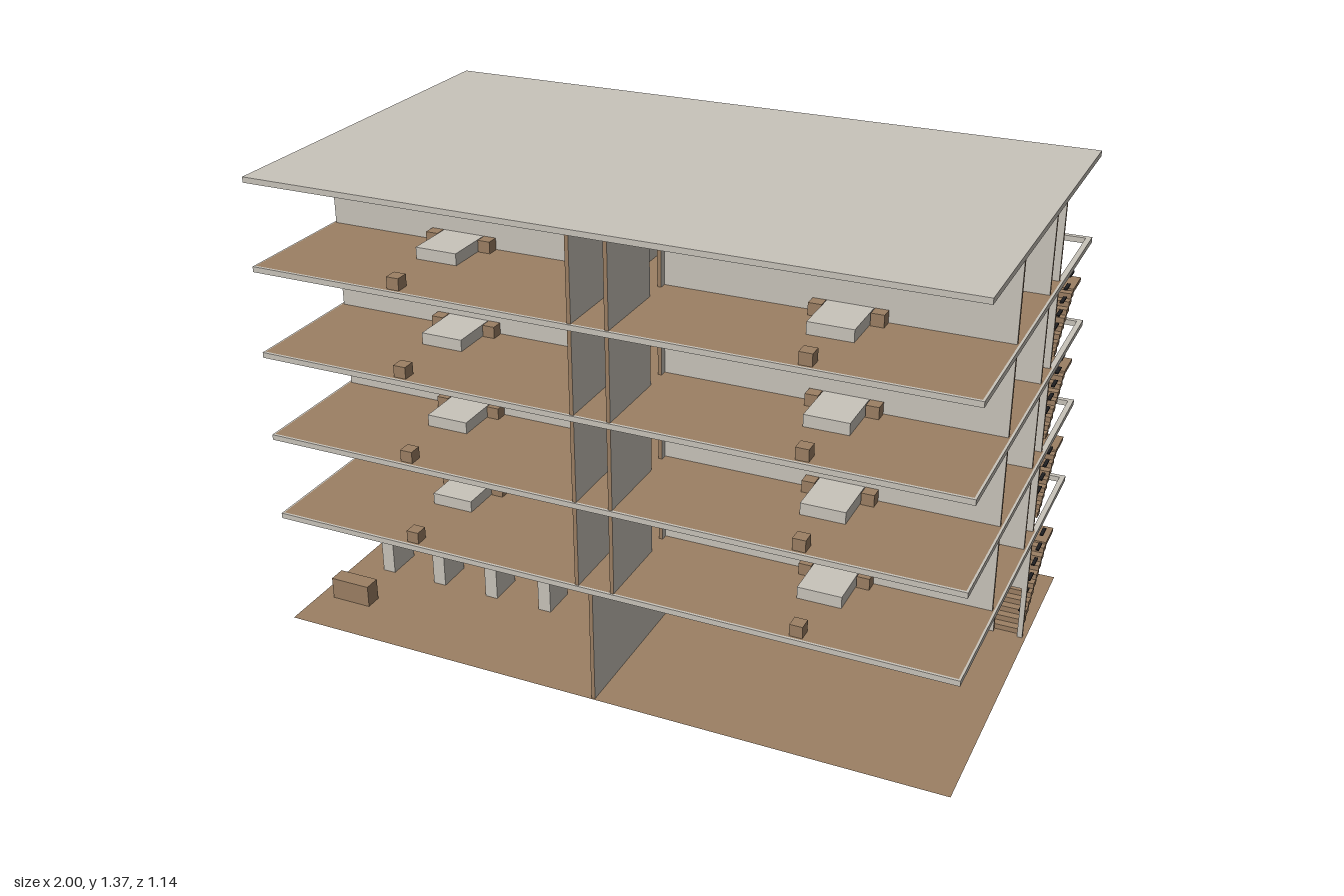
import * as THREE from 'three';

const mat = (name, color, side = THREE.FrontSide) => {
  const m = new THREE.MeshStandardMaterial({ color, side });
  m.name = name;
  return m;
};

export function createModel() {
  const plaster = mat('plaster', 0xc9c4bb);
  const wood = mat('wood', 0x9c8064);
  const woodFloor = mat('wood floor', 0x9c8064, THREE.DoubleSide);
  const charcoal = mat('charcoal', 0x48464c);
  const black = mat('black', 0x1e1e20);

  const model = new THREE.Group();
  model.name = 'apartmentBuilding';

  const X = 1, Z = 0.57, SLAB = 0.016, T = 0.011, DOOR_H = 0.165;
  const floorTops = [0.356, 0.609, 0.862, 1.114];
  const roofTop = 1.365;
  const well = { x0: 0.812, x1: 0.985, z0: -0.555, z1: -0.215 };

  // Box given by its min and max corners
  function box(parent, name, material, x0, x1, y0, y1, z0, z1) {
    const m = new THREE.Mesh(new THREE.BoxGeometry(x1 - x0, y1 - y0, z1 - z0), material);
    m.position.set((x0 + x1) / 2, (y0 + y1) / 2, (z0 + z1) / 2);
    m.name = name;
    parent.add(m);
    return m;
  }

  // Wall with door notches; plaster faces, wooden edges
  function wall(parent, name, axis, at, from, to, y0, h, doors = []) {
    const s = new THREE.Shape();
    s.moveTo(from, 0);
    for (const [a, b] of doors) {
      s.lineTo(a, 0);
      s.lineTo(a, DOOR_H);
      s.lineTo(b, DOOR_H);
      s.lineTo(b, 0);
    }
    s.lineTo(to, 0);
    s.lineTo(to, h);
    s.lineTo(from, h);
    s.closePath();
    const g = new THREE.ExtrudeGeometry(s, { depth: T, bevelEnabled: false });
    const m = new THREE.Mesh(g, [plaster, wood]);
    if (axis === 'x') m.position.set(0, y0, at - T / 2);
    else {
      m.rotation.y = -Math.PI / 2;
      m.position.set(at + T / 2, y0, 0);
    }
    m.name = name;
    parent.add(m);
  }

  // Closed shape on the floor plane (shape y = -z)
  function plan(points) {
    return new THREE.Shape(points.map(([x, z]) => new THREE.Vector2(x, -z)));
  }

  // Floor slab with an opening for the stairs and a wooden top
  function slab(parent, top) {
    const s = plan([[-X, Z], [X, Z], [X, -Z], [-X, -Z]]);
    const { x0, x1, z0, z1 } = well;
    s.holes.push(new THREE.Path([[x0, z0], [x0, z1], [x1, z1], [x1, z0]].map(([x, z]) => new THREE.Vector2(x, -z))));
    const m = new THREE.Mesh(new THREE.ExtrudeGeometry(s, { depth: SLAB, bevelEnabled: false }), plaster);
    m.rotation.x = -Math.PI / 2;
    m.position.y = top - SLAB;
    m.name = 'floorSlab';
    parent.add(m);
    const e = 0.006;
    const f = plan([[-X + e, Z - e], [X - e, Z - e], [X - e, z1], [x0, z1], [x0, -Z + e], [-X + e, -Z + e]]);
    const p = new THREE.Mesh(new THREE.ShapeGeometry(f), woodFloor);
    p.rotation.x = -Math.PI / 2;
    p.position.y = top + 0.001;
    p.name = 'woodFloor';
    parent.add(p);
  }

  // Bed, two bedside tables and a chair, set off from the wall at z = zw
  function bedroom(parent, side, y, zw, zFront) {
    const cx = 0.567 * side, h = 0.035;
    box(parent, 'bed', plaster, cx - 0.062, cx + 0.062, y, y + h, zw + 0.007, zw + 0.155);
    for (const k of [-1, 1]) {
      const bx = cx + k * 0.082;
      box(parent, 'bedsideTable', wood, bx - 0.018, bx + 0.018, y, y + h, zw + 0.007, zw + 0.042);
    }
    box(parent, 'chair', wood, cx - 0.018, cx + 0.018, y, y + h, zFront - 0.05, zFront - 0.012);
  }

  // Two flights of steps, a landing between them and handrail bars
  function stairs(parent, y0, y1, zStart, n) {
    const g = new THREE.Group();
    g.name = 'stairs';
    const zMid = -0.47, run = (zMid - zStart) / n, rise = (y1 - y0) / 2 / n;
    const mid = (y0 + y1) / 2;
    for (let i = 0; i < n; i++) {
      const za = zStart + run * i, zb = za + run * 1.35;
      const ya = y0 + rise * i;
      box(g, 'lowerStep', wood, 0.9, 0.982, ya, ya + rise, zb, za);
      const yb = mid + rise * i, zc = zMid - run * i;
      box(g, 'upperStep', wood, 0.815, 0.897, yb, yb + rise, zc, zc - run * 1.35);
    }
    box(g, 'landing', wood, 0.815, 0.982, mid - 0.006, mid + 0.006, -0.565, zMid);
    const bars = n > 8 ? 6 : 5;
    for (let i = 0; i < bars; i++) {
      const t = (i + 0.3) / bars;
      const zl = zStart + (zMid - zStart) * t, zu = zMid - (zMid - zStart) * t;
      const yl = y0 + (mid - y0) * t + 0.075, yu = mid + (y1 - mid) * t + 0.085;
      box(g, 'handrailBar', black, 0.97, 0.98, yl, yl + 0.004, zl - 0.022, zl + 0.022);
      box(g, 'handrailBar', black, 0.818, 0.828, yu, yu + 0.004, zu - 0.022, zu + 0.022);
    }
    parent.add(g);
  }

  // Ground floor
  const ground = new THREE.Group();
  ground.name = 'groundFloor';
  model.add(ground);
  const base = new THREE.Mesh(new THREE.PlaneGeometry(2 * X, 2 * Z), woodFloor);
  base.rotation.x = -Math.PI / 2;
  base.position.y = 0.001;
  base.name = 'groundPlate';
  ground.add(base);
  const gh = floorTops[0] - SLAB;
  wall(ground, 'lobbyBackWall', 'x', -0.211, -0.99, 0.99, 0, gh, [[-0.495, -0.425], [0.905, 0.975]]);
  wall(ground, 'lobbyDivider', 'z', -0.012, -0.205, 0.565, 0, gh);
  wall(ground, 'stairWall', 'x', -0.227, 0.812, 0.9, 0, gh);
  for (let i = 0; i < 5; i++) {
    const x = -0.16 - 0.181 * i;
    for (const z of [-0.09, 0.18])
      box(ground, 'lobbyBlock', plaster, x - 0.02, x + 0.02, 0, 0.108, z - 0.055, z + 0.055);
  }
  box(ground, 'receptionDesk', wood, -0.955, -0.83, 0.001, 0.068, 0.38, 0.43);
  box(ground, 'woodenBin', wood, -0.91, -0.872, 0.001, 0.034, -0.555, -0.516);
  box(ground, 'blackBin', black, -0.975, -0.937, 0.001, 0.034, -0.545, -0.506);
  stairs(ground, 0, floorTops[0] - 0.018, -0.222, 10);

  // Apartment floors
  floorTops.forEach((y, i) => {
    const g = new THREE.Group();
    g.name = 'apartmentFloor' + (i + 1);
    model.add(g);
    slab(g, y);
    const next = i < 3 ? floorTops[i + 1] : roofTop;
    const h = next - SLAB - y;

    // Corridor walls with doors
    wall(g, 'leftCorridorWall', 'z', -0.052, -0.565, 0.565, y, h, [[-0.54, -0.47], [-0.163, -0.092], [0.212, 0.282]]);
    wall(g, 'rightCorridorWall', 'z', 0.052, -0.211, 0.565, y, h, [[-0.168, -0.111], [-0.08, -0.007], [0.257, 0.325]]);
    // Dividers between rooms
    for (const z of [-0.19, 0.19]) wall(g, 'leftRoomWall', 'x', z, -0.99, -0.052, y, h);
    for (const z of [-0.211, -0.106, 0.231]) wall(g, 'rightRoomWall', 'x', z, 0.052, 0.99, y, h);

    // Furniture
    bedroom(g, -1, y, 0.19, 0.57);
    bedroom(g, -1, y, -0.19, 0.19);
    bedroom(g, -1, y, -0.57, -0.19);
    bedroom(g, 1, y, 0.231, 0.57);
    bedroom(g, 1, y, -0.106, 0.231);
    box(g, 'leftStool', wood, -0.955, -0.918, y, y + 0.035, 0.07, 0.108);
    box(g, 'rightStool', wood, 0.912, 0.95, y, y + 0.035, 0.06, 0.098);

    // Solid railing beside the stair opening
    box(g, 'stairRailing', charcoal, 0.803, 0.811, y, y + 0.077, -0.565, -0.217);
    if (i < 3) stairs(g, y, next - 0.004, -0.288, 8);
  });

  // Roof
  box(model, 'roof', plaster, -X, X, roofTop - SLAB, roofTop, -Z, Z);
  return model;
}
